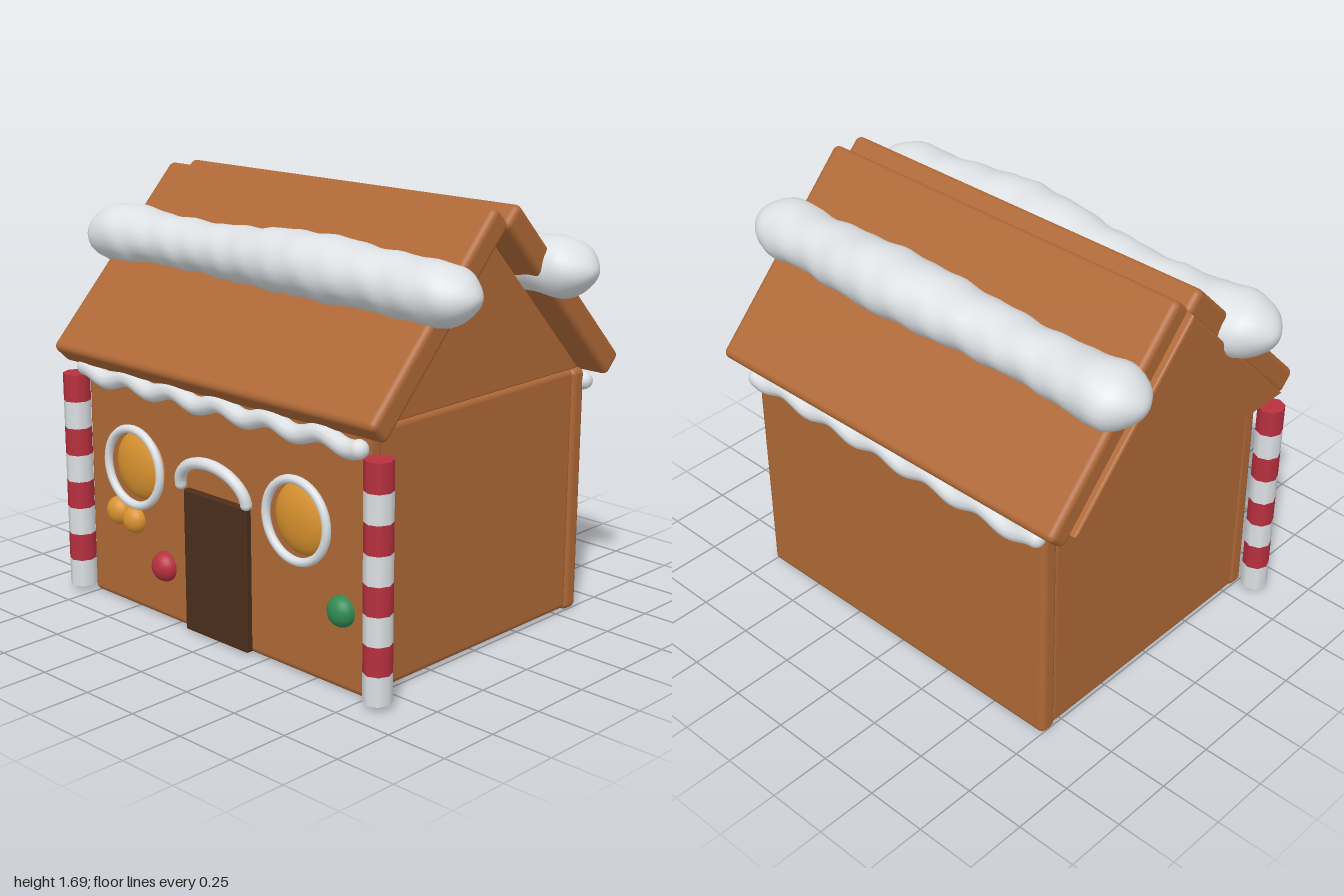
import * as THREE from 'three';
import { RoundedBoxGeometry } from 'three/addons/geometries/RoundedBoxGeometry.js';
import { mergeVertices } from 'three/addons/utils/BufferGeometryUtils.js';

const mat = (name, color) => {
  const m = new THREE.MeshStandardMaterial({ color });
  m.name = name;
  return m;
};

export function createModel() {
  const model = new THREE.Group();
  model.name = 'gingerbreadHouse';
  const ginger = mat('gingerbread', 0xae6836);
  const icing = mat('icing', 0xdde1e4);
  const chocolate = mat('chocolate', 0x4b2e1b);
  const red = mat('candyRed', 0xb8303f);
  const green = mat('candyGreen', 0x2f8a55);
  const amber = mat('amberSugar', 0xd9922f);

  const add = (name, geometry, material, x = 0, y = 0, z = 0, parent = model) => {
    const mesh = new THREE.Mesh(geometry, material);
    mesh.name = name;
    mesh.position.set(x, y, z);
    parent.add(mesh);
    return mesh;
  };
  const slab = (w, h, d, r = 0.025) => new RoundedBoxGeometry(w, h, d, 3, r);

  // Walls, open underneath
  add('frontWall', slab(1.52, 0.99, 0.075), ginger, 0.003, 0.507, 0.568).rotation.z = -0.004;
  add('backWall', slab(1.52, 0.99, 0.075), ginger, 0, 0.507, -0.582).rotation.z = -0.004;
  for (const s of [1, -1])
    add(s > 0 ? 'leftWall' : 'rightWall', slab(0.075, 0.985, 1.12), ginger, s * 0.715, 0.51, 0);

  // Gables reach up into the roof; the right one sits further out than the wall
  const triangle = new THREE.Shape();
  triangle.moveTo(-0.59, 0).lineTo(0.59, 0).lineTo(0, 0.62).closePath();
  const gable = (name, depth, x, y) => {
    const g = new THREE.ExtrudeGeometry(triangle, {
      depth: depth - 0.02, bevelThickness: 0.01, bevelSize: 0.01, bevelOffset: -0.008, bevelSegments: 2,
    });
    g.translate(0, 0, -(depth - 0.02) / 2).rotateY(Math.PI / 2);
    add(name, g, ginger, x, y, 0);
  };
  gable('leftGable', 0.075, 0.71, 1.0);
  gable('rightGable', 0.09, -0.83, 1.02);

  // Roof panels, slightly askew
  for (const s of [1, -1]) {
    const pivot = new THREE.Group();
    pivot.name = s > 0 ? 'frontRoof' : 'backRoof';
    pivot.position.set(0.005, 1.34, s * 0.342);
    pivot.rotation.set(0, 0.014, 0.004);
    model.add(pivot);
    const panel = add('roofPanel', slab(1.7, 0.107, 0.93), ginger, 0, 0, 0, pivot);
    panel.rotation.x = s * 0.8;
  }

  // Lumpy snow rolls on the roof, tapering at the ends and bulging down the slope
  const snowRoll = (name, side, x, length, seed) => {
    const g = new THREE.CapsuleGeometry(0.115, length - 0.23, 8, 24, 60);
    g.rotateZ(Math.PI / 2);
    const p = g.attributes.position;
    for (let i = 0; i < p.count; i++) {
      const px = p.getX(i), py = p.getY(i), pz = p.getZ(i);
      const a = Math.atan2(pz, py);
      const bump = Math.exp(-((px - 0.25) ** 2) / 0.15);
      const lump = 0.9 + 0.04 * Math.sin(px * 5 + seed + 0.5 * Math.sin(a))
        + 0.025 * Math.sin(px * 23 + 2 * a + seed) + 0.02 * Math.sin(px * 41 - 3 * a)
        + 0.11 * bump + 0.12 * Math.exp(-((Math.abs(px) - 0.82) ** 2) / 0.02);
      const taper = 1 - 0.28 * Math.max(0, (Math.abs(px) - length / 2 + 0.2) / 0.2) ** 2;
      p.setXYZ(i, px, py * lump * taper + 0.022 * bump, pz * lump * taper * 1.22 + side * 0.025 * bump);
    }
    g.deleteAttribute('uv');
    g.deleteAttribute('normal');
    const smooth = mergeVertices(g, 1e-4);
    smooth.computeVertexNormals();
    add(name, smooth, icing, x, 1.443, side * 0.328);
  };
  snowRoll('frontSnowRoll', 1, 0, 2.0, 0);
  snowRoll('backSnowRoll', -1, 0.03, 1.94, 0.8);

  // Rounded-end icing tubes
  const pipe = (name, points, radius) => {
    const curve = new THREE.CatmullRomCurve3(points);
    add(name, new THREE.TubeGeometry(curve, 96, radius, 10), icing);
    for (const end of [points[0], points[points.length - 1]])
      add(name + 'End', new THREE.SphereGeometry(radius, 12, 8), icing, end.x, end.y, end.z);
  };

  // Wavy icing under both eaves
  for (const s of [1, -1]) {
    const points = [];
    for (let i = 0; i <= 48; i++) {
      const x = -0.73 + (1.475 * i) / 48;
      points.push(new THREE.Vector3(x, 0.948 + 0.016 * Math.cos(((x + 0.47) * 2 * Math.PI) / 0.26), s * 0.632));
    }
    pipe(s > 0 ? 'frontEaveIcing' : 'backEaveIcing', points, 0.036);
  }

  // Striped candy poles at the front corners
  for (const s of [1, -1]) {
    const pole = new THREE.Group();
    pole.name = s > 0 ? 'leftCandyPole' : 'rightCandyPole';
    pole.position.set(s * 0.82 + 0.003, 0.03, 0.615);
    model.add(pole);
    const h = 0.89 / 8;
    for (let i = 0; i < 8; i++)
      add('candyBand', new THREE.CylinderGeometry(0.054, 0.054, h, 8), i % 2 ? red : icing, 0, h * (i + 0.5), 0, pole);
  }

  // Domed round windows with raised icing rings
  for (const s of [1, -1]) {
    const x = s * 0.445 + 0.003;
    add('windowPane', new THREE.SphereGeometry(0.14, 32, 20), amber, x, 0.613, 0.595).scale.z = 0.42;
    add('windowRing', new THREE.TorusGeometry(0.153, 0.017, 10, 40), icing, x, 0.614, 0.643);
  }

  // Door with icing arch
  add('door', slab(0.345, 0.57, 0.05, 0.008), chocolate, 0.003, 0.303, 0.607);
  const arch = [];
  for (let i = 0; i <= 16; i++) {
    const a = Math.PI * (1 - i / 16);
    arch.push(new THREE.Vector3(0.003 + 0.18 * Math.cos(a), 0.608 + 0.118 * Math.sin(a), 0.635 + 0.022 * Math.sin(a)));
  }
  pipe('doorArch', arch, 0.023);

  // Candy buttons
  const buttons = [
    [-0.575, 0.4, 0.058, amber], [-0.482, 0.383, 0.056, amber],
    [-0.307, 0.233, 0.06, red], [0.645, 0.318, 0.059, green],
  ];
  for (const [x, y, r, m] of buttons)
    add('candyButton', new THREE.SphereGeometry(r, 20, 14), m, x, y, 0.61).scale.z = 0.85;

  return model;
}
